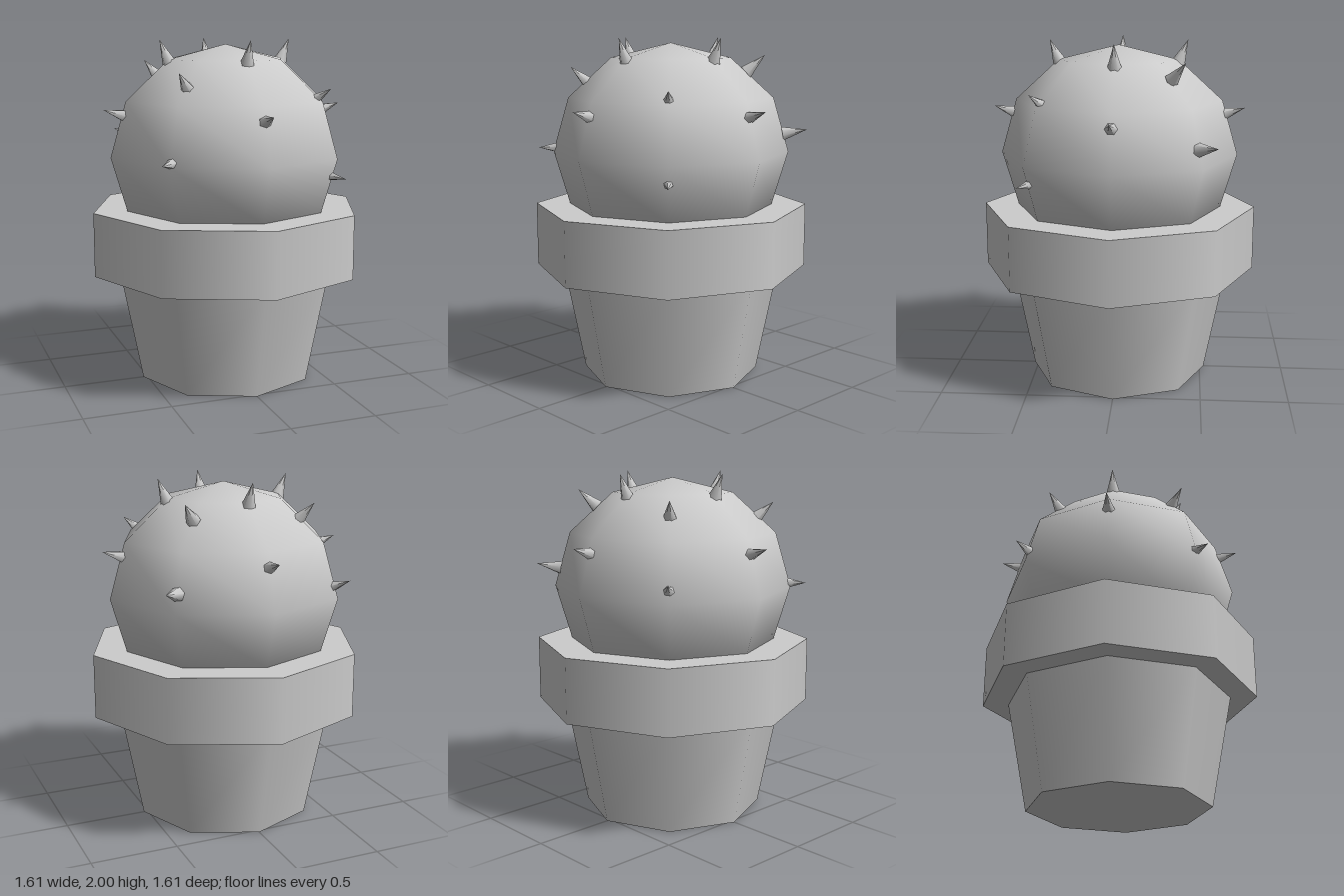
import * as THREE from 'three';

const SIDES = 8;
const material = new THREE.MeshStandardMaterial({ color: 0xcccccc });

export function createModel() {
  const group = new THREE.Group();
  group.name = 'pottedCactus';

  const add = (name, geometry, y = 0) => {
    const mesh = new THREE.Mesh(geometry, material);
    mesh.name = name;
    mesh.position.y = y;
    group.add(mesh);
    return mesh;
  };

  // Tapered pot with a wide collar
  add('pot', new THREE.CylinderGeometry(0.655, 0.525, 0.66, SIDES), 0.33);
  add('potRim', new THREE.CylinderGeometry(0.805, 0.805, 0.375, SIDES), 0.8325);

  // Slightly squashed low-poly ball
  add('cactusBody', new THREE.SphereGeometry(0.697, SIDES, 6), 1.335).scale.y = 0.635 / 0.697;

  // Spines: a cone with its tip at the given point, leaning out along dir
  const length = 0.15;
  const cone = new THREE.ConeGeometry(0.042, length, 6).translate(0, -length / 2, 0);
  const up = new THREE.Vector3(0, 1, 0);
  const spine = (angle, tipR, tipY, baseR, baseY) => {
    const mesh = add('spine', cone);
    const c = Math.cos(angle), s = Math.sin(angle);
    const dir = new THREE.Vector3((tipR - baseR) * c, tipY - baseY, (tipR - baseR) * s).normalize();
    mesh.position.set(tipR * c, tipY, tipR * s);
    mesh.quaternion.setFromUnitVectors(up, dir);
  };

  // Two even rings on the main axes
  for (let i = 0; i < 4; i++) {
    const a = (i * Math.PI) / 2;
    spine(a, 0.4, 2.0, 0.345, 1.87);
    spine(a, 0.735, 1.61, 0.62, 1.575);
  }

  // Irregular pairs on the diagonals: [tip radius, tip y, base radius, base y]
  const diagonals = [
    [[0.65, 1.73, 0.56, 1.67], [0.75, 1.225, 0.64, 1.24]], // front left
    [[0.587, 1.83, 0.488, 1.74], [0.785, 1.355, 0.65, 1.355]], // front right
    [[0.545, 1.87, 0.44, 1.76], [0.765, 1.445, 0.65, 1.4]], // back right
    [[0.55, 1.9, 0.44, 1.8], [0.805, 1.465, 0.66, 1.44]], // back left
  ];
  diagonals.forEach((pair, i) => {
    for (const p of pair) spine(Math.PI / 4 + (i * Math.PI) / 2, ...p);
  });

  return group;
}
